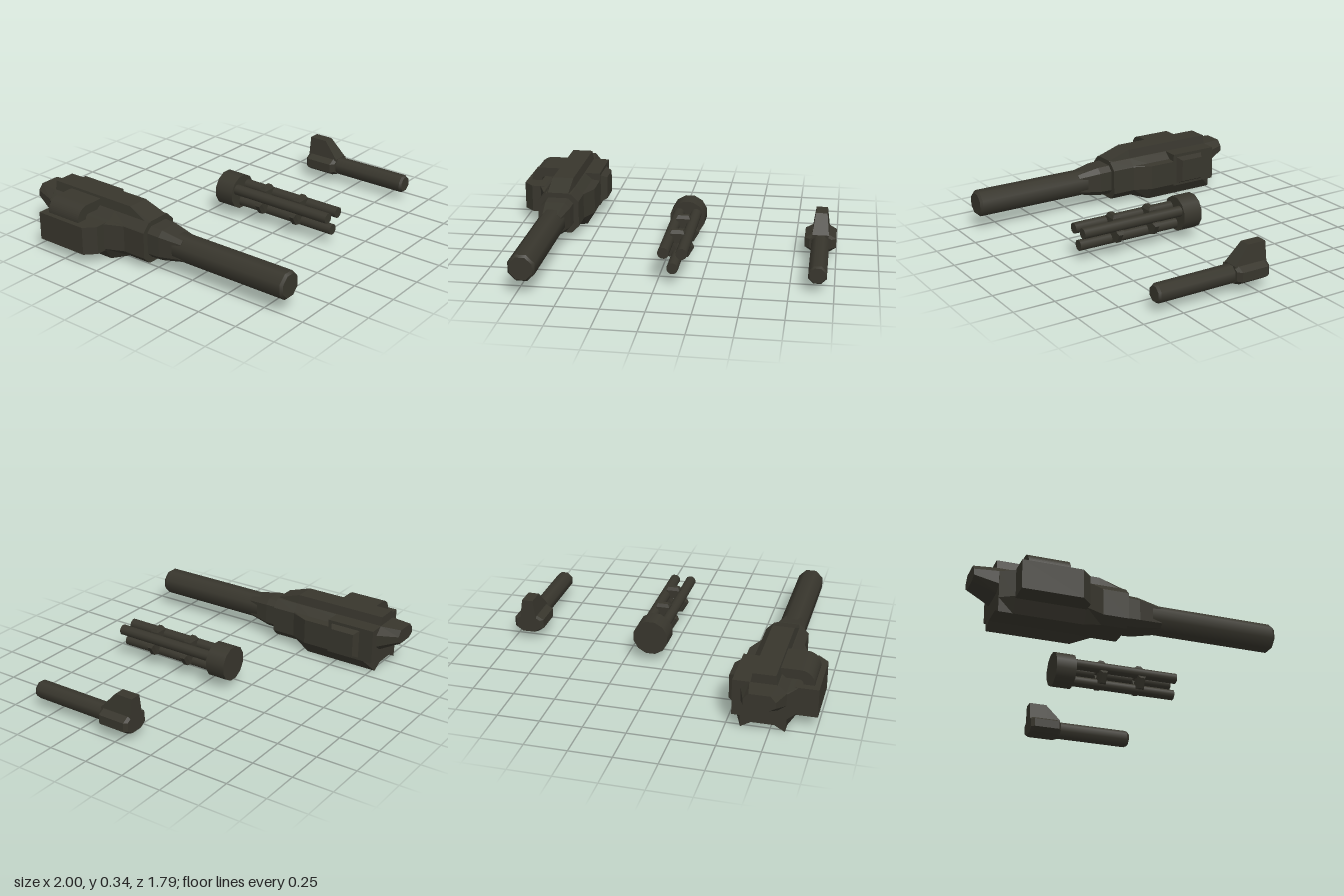
import * as THREE from 'three';

const darkOlive = new THREE.MeshStandardMaterial({ color: 0x38362d });
darkOlive.name = 'darkOlive';
darkOlive.flatShading = false;

// Skin counter-clockwise outlines, ordered from back (low z) to front, with end caps.
function loft(sections) {
  const pos = [];
  const n = sections[0].pts.length;
  const put = (s, i) => pos.push(s.pts[i % n][0], s.pts[i % n][1], s.z);
  for (let k = 0; k < sections.length - 1; k++) {
    const b = sections[k], f = sections[k + 1];
    for (let i = 0; i < n; i++) {
      put(b, i); put(b, i + 1); put(f, i + 1);
      put(b, i); put(f, i + 1); put(f, i);
    }
  }
  const cap = (s, flip) => {
    const outline = s.pts.map(p => new THREE.Vector2(p[0], p[1]));
    for (const [a, b, c] of THREE.ShapeUtils.triangulateShape(outline, [])) {
      (flip ? [c, b, a] : [a, b, c]).forEach(i => put(s, i));
    }
  };
  cap(sections[0], true);
  cap(sections[sections.length - 1], false);
  const geo = new THREE.BufferGeometry();
  geo.setAttribute('position', new THREE.Float32BufferAttribute(pos, 3));
  geo.computeVertexNormals();
  return geo;
}

// Complete a right-hand half outline (listed bottom to top) by mirroring it.
const mirror = half => [...half, ...[...half].reverse().map(([x, y]) => [-x, y])];

// Rectangle with cut corners.
const chamfered = (w, y0, y1, c) =>
  mirror([[w - c, y0], [w, y0 + c], [w, y1 - c], [w - c, y1]]);

const rect = (x0, x1, y0, y1) => [[x0, y0], [x1, y0], [x1, y1], [x0, y1]];

function add(group, name, geo, x = 0, y = 0, z = 0) {
  const mesh = new THREE.Mesh(geo, darkOlive);
  mesh.name = name;
  mesh.position.set(x, y, z);
  group.add(mesh);
  return mesh;
}

// Cylinder along z from z0 to z1, with a flat side on top.
function rod(r0, r1, z0, z1, sides) {
  return new THREE.CylinderGeometry(r1, r0, z1 - z0, sides, 1, false, Math.PI / sides)
    .rotateX(Math.PI / 2).translate(0, 0, (z0 + z1) / 2);
}

function addBarrel(group, y, r, z0, z1) {
  add(group, 'barrel', rod(r, r, z0, z1 - 0.015, 8), 0, y);
  add(group, 'muzzleBevel', rod(r, r * 0.85, z1 - 0.015, z1, 8), 0, y);
}

function heavyCannon() {
  const g = new THREE.Group();
  g.name = 'heavyCannon';

  // Hull, narrow at the front, with two angular keels below
  const narrow = mirror([[0.065, 0.035], [0.085, 0.037], [0.127, 0.08], [0.127, 0.237], [0.122, 0.243], [0.08, 0.285]]);
  const wide = mirror([[0.065, 0.035], [0.125, 0], [0.175, 0.08], [0.175, 0.237], [0.125, 0.243], [0.08, 0.285]]);
  const rear = mirror([[0.065, 0.035], [0.125, 0], [0.13, 0.08], [0.13, 0.237], [0.122, 0.243], [0.08, 0.285]]);
  add(g, 'hull', loft([
    { z: -0.77, pts: rear }, { z: -0.69, pts: wide }, { z: -0.29, pts: wide },
    { z: -0.18, pts: narrow }, { z: -0.03, pts: narrow },
  ]));

  // Raised spine, sloping down at the front
  const spine = y => mirror([[0.077, 0.27], [0.065, y]]);
  add(g, 'spine', loft([
    { z: -0.77, pts: spine(0.34) }, { z: -0.18, pts: spine(0.34) }, { z: -0.03, pts: spine(0.29) },
  ]));

  // Tapered rear cap
  add(g, 'rearCap', loft([
    { z: -0.9, pts: mirror([[0.055, 0.195], [0.09, 0.215], [0.09, 0.25], [0.06, 0.285]]) },
    { z: -0.77, pts: mirror([[0.08, 0.13], [0.127, 0.165], [0.127, 0.24], [0.08, 0.285]]) },
  ]));

  // Collar whose corners taper onto the barrel
  add(g, 'collar', loft([
    { z: -0.04, pts: chamfered(0.095, 0.067, 0.259, 0.032) },
    { z: 0.05, pts: chamfered(0.092, 0.07, 0.256, 0.032) },
    { z: 0.19, pts: chamfered(0.066, 0.097, 0.229, 0.02) },
  ]));
  addBarrel(g, 0.163, 0.083, -0.05, 0.89);

  // Housing on the left with a bevelled hatch
  add(g, 'sideHousing', loft([
    { z: -0.77, pts: rect(0.06, 0.176, 0.07, 0.285) }, { z: -0.46, pts: rect(0.06, 0.176, 0.07, 0.285) },
  ]));
  const hatch = loft([
    { z: 0.17, pts: rect(0.48, 0.68, 0.082, 0.268) }, { z: 0.216, pts: rect(0.505, 0.655, 0.105, 0.248) },
  ]);
  add(g, 'sideHatch', hatch).rotation.y = Math.PI / 2;

  // Ammunition box on the right with a curved feed chute
  const plan = new THREE.Shape([[-0.29, 0.69], [-0.29, 0.35], [-0.23, 0.29], [-0.12, 0.29], [-0.12, 0.69]]
    .map(p => new THREE.Vector2(...p)));
  add(g, 'ammoBox', new THREE.ExtrudeGeometry(plan, { depth: 0.17, bevelEnabled: false })
    .rotateX(-Math.PI / 2), 0, 0.07);
  const chute = new THREE.Shape();
  chute.moveTo(-0.258, 0.2);
  chute.lineTo(-0.258, 0.245);
  chute.absarc(-0.178, 0.245, 0.08, Math.PI, Math.PI / 2, true);
  chute.lineTo(-0.05, 0.325);
  chute.lineTo(-0.05, 0.268);
  chute.lineTo(-0.17, 0.268);
  chute.absarc(-0.17, 0.243, 0.025, Math.PI / 2, Math.PI, false);
  chute.lineTo(-0.195, 0.2);
  add(g, 'feedChute', new THREE.ExtrudeGeometry(chute, { depth: 0.235, bevelEnabled: false, curveSegments: 6 }), 0, 0, -0.645);
  return g;
}

function tripleGun() {
  const g = new THREE.Group();
  g.name = 'tripleGun';
  add(g, 'breech', rod(0.108, 0.108, -0.175, -0.05, 12), 0, 0.16);

  // Three barrels, with two rings of clamps in the gaps between them
  for (let i = 0; i < 3; i++) {
    const a = -Math.PI / 2 + i * Math.PI * 2 / 3;
    add(g, 'gunBarrel', rod(0.033, 0.033, -0.06, 0.62, 12), Math.cos(a) * 0.06, 0.16 + Math.sin(a) * 0.06);
    for (const z of [0.135, 0.385]) {
      const clamp = loft([
        { z: 0.015, pts: rect(-0.042, 0.042, -0.025, 0.025) },
        { z: 0.07, pts: rect(-0.042, 0.042, -0.025, 0.025) },
        { z: 0.09, pts: rect(-0.032, 0.032, -0.014, 0.014) },
      ]).rotateX(-Math.PI / 2);
      add(g, 'barrelClamp', clamp, 0, 0.16, z).rotation.z = i * Math.PI * 2 / 3;
    }
  }
  return g;
}

function lightGun() {
  const g = new THREE.Group();
  g.name = 'lightGun';

  // Hexagonal base with clipped ends
  const base = w => mirror([[w - 0.037, 0.055], [w, 0.08], [w, 0.135], [w - 0.04, 0.158]]);
  add(g, 'gunBase', loft([
    { z: -0.08, pts: base(0.075) }, { z: -0.06, pts: base(0.093) },
    { z: 0.11, pts: base(0.093) }, { z: 0.13, pts: base(0.065) },
  ]));

  // Upright mount with a sloping front
  const mount = (w, y) => mirror([[0.05, 0.15], [w, y]]);
  add(g, 'mount', loft([
    { z: -0.08, pts: mount(0.034, 0.265) }, { z: 0.035, pts: mount(0.034, 0.265) },
    { z: 0.13, pts: mount(0.049, 0.16) },
  ]));
  addBarrel(g, 0.106, 0.056, 0.1, 0.625);
  return g;
}

export function createModel() {
  const model = new THREE.Group();
  model.name = 'gunSet';
  [[heavyCannon(), -0.71], [tripleGun(), 0.092], [lightGun(), 0.905]].forEach(([gun, x]) => {
    gun.position.x = x;
    model.add(gun);
  });
  return model;
}
